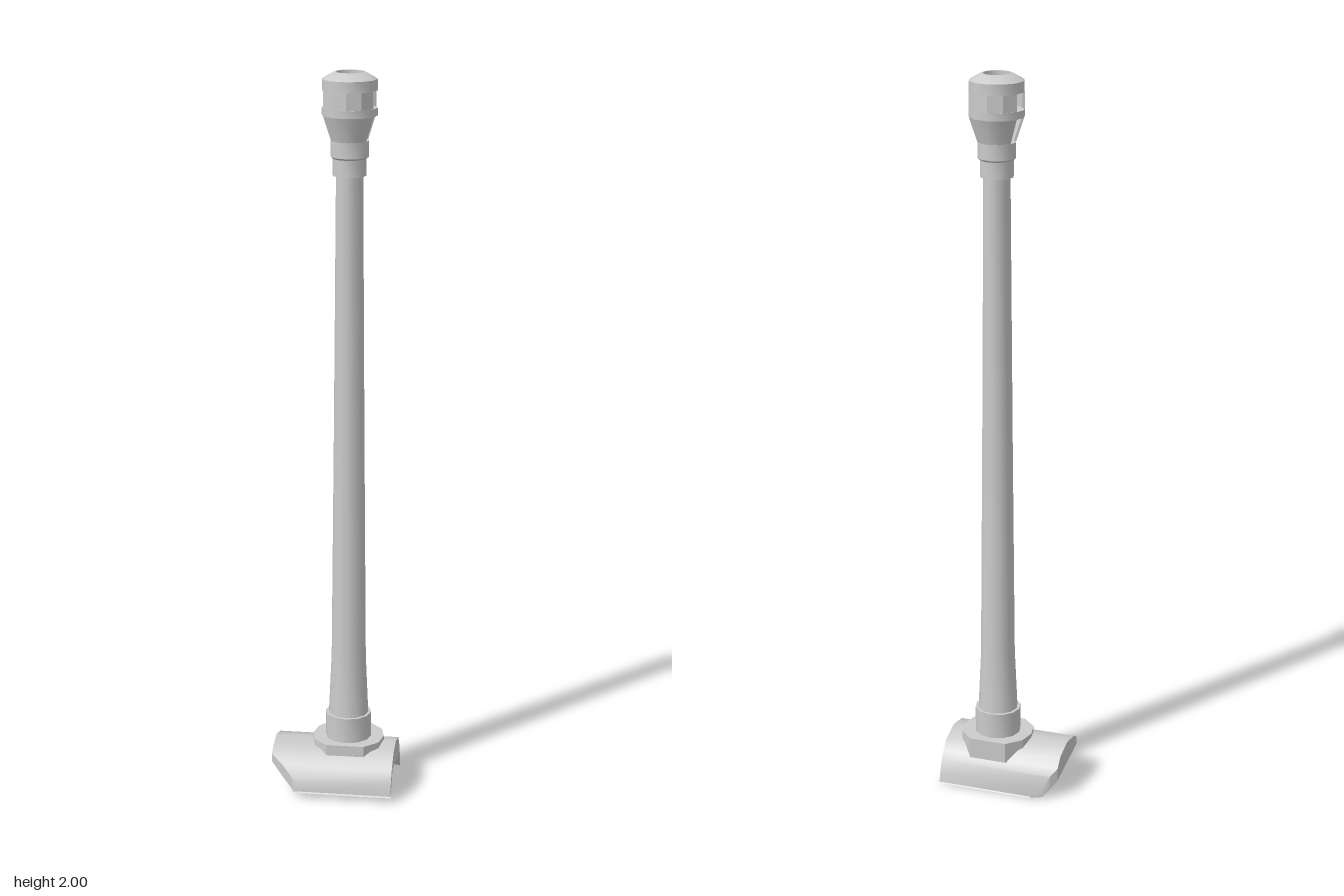
import * as THREE from 'three';
import { toCreasedNormals } from 'three/addons/utils/BufferGeometryUtils.js';

const SIDES = 12;
const material = new THREE.MeshStandardMaterial({ color: 0xcccccc });
const openMaterial = new THREE.MeshStandardMaterial({ color: 0xcccccc, side: THREE.DoubleSide });

function add(parent, name, geometry, mat = material) {
  const mesh = new THREE.Mesh(geometry, mat);
  mesh.name = name;
  parent.add(mesh);
}

// Turned part; the profile of [radius, y] runs up the outside
function turned(profile, sides = SIDES, start = 0, length = Math.PI * 2) {
  const points = profile.map(([r, y]) => new THREE.Vector2(r, y));
  return toCreasedNormals(new THREE.LatheGeometry(points, sides, start, length), 0.55);
}

// Muzzle brake: full rings joined by front and back walls, leaving side windows
function createMuzzleBrake() {
  const brake = new THREE.Group();
  brake.name = 'muzzleBrake';
  const half = 0.45;
  add(brake, 'muzzleRing', turned([
    [0.036, 1.953], [0.073, 1.953], [0.073, 1.982], [0.041, 2.0], [0.036, 2.0], [0.036, 1.953],
  ]));
  add(brake, 'middleRing', turned([
    [0.036, 1.888], [0.074, 1.888], [0.074, 1.908], [0.036, 1.908], [0.036, 1.888],
  ]));
  // Neck with a dished bore floor
  add(brake, 'brakeNeck', turned([
    [0, 1.73], [0.045, 1.73], [0.045, 1.775], [0.051, 1.78], [0.051, 1.822], [0.036, 1.822], [0, 1.8],
  ]));
  const walls = {
    upperWall: [[0.066, 1.908], [0.073, 1.908], [0.073, 1.953], [0.066, 1.953]],
    lowerWall: [[0.044, 1.822], [0.051, 1.822], [0.073, 1.888], [0.066, 1.888]],
  };
  for (const [name, profile] of Object.entries(walls)) {
    const section = new THREE.Shape(profile.map(([r, y]) => new THREE.Vector2(r, y)));
    for (const middle of [0, Math.PI]) {
      const start = middle - Math.PI / 2 + half, length = Math.PI - 2 * half;
      add(brake, name, turned([...profile, profile[0]], 4, start, length));
      // Flat cheeks of the windows
      for (const angle of [start, start + length]) {
        add(brake, 'windowCheek', new THREE.ShapeGeometry(section).rotateY(angle - Math.PI / 2), openMaterial);
      }
    }
  }
  return brake;
}

// Curved saddle: columns of [z, outer y, lower y, x of the clipped end]
function createSaddle() {
  const right = 0.17, holeLeft = -0.06, holeRight = 0.13;
  const columns = [
    [0.127, 0.02, 0.015, -0.1], [0.122, 0.055, 0.022, -0.105], [0.1, 0.086, 0.05, -0.136],
    [0.076, 0.106, 0.083, -0.17], [0.055, 0.119, 0.079, -0.17], [-0.008, 0.13, 0.067, -0.17],
    [-0.07, 0.112, 0.055, -0.17], [-0.093, 0.087, 0.05, -0.17], [-0.108, 0.065, 0.026, -0.152],
    [-0.12, 0.03, 0.006, -0.134], [-0.126, 0.004, 0, -0.1],
  ];
  const positions = [];
  const quad = (a, b, c, d) => positions.push(...a, ...b, ...c, ...a, ...c, ...d);
  for (let i = 0; i < columns.length - 1; i++) {
    const [za, ta, ba, xa] = columns[i], [zb, tb, bb, xb] = columns[i + 1];
    // Outer skin, right end, clipped end
    quad([xa, ta, za], [right, ta, za], [right, tb, zb], [xb, tb, zb]);
    quad([right, ba, za], [right, bb, zb], [right, tb, zb], [right, ta, za]);
    quad([xa, ba, za], [xa, ta, za], [xb, tb, zb], [xb, bb, zb]);
    // Underside, with an opening below the flange
    const under = (a, b, end) => quad([a, ba, za], [b, bb, zb], [end, bb, zb], [end, ba, za]);
    if (i === 4 || i === 5) {
      under(xa, xb, holeLeft);
      under(holeRight, holeRight, right);
    } else {
      under(xa, xb, right);
    }
  }
  const geometry = new THREE.BufferGeometry();
  geometry.setAttribute('position', new THREE.Float32BufferAttribute(positions, 3));
  geometry.computeVertexNormals();
  return toCreasedNormals(geometry, 0.7);
}

// Ten-sided flange with flattened front and back
function createFlange() {
  const side = [[0.052, 0.083], [0.09, 0.047], [0.1, 0], [0.09, -0.047], [0.052, -0.087]];
  const outline = [...side, ...side.map(([x, z]) => [-x, z]).reverse()];
  const shape = new THREE.Shape(outline.map(([x, z]) => new THREE.Vector2(x, -z)));
  const geometry = new THREE.ExtrudeGeometry(shape, { depth: 0.058, bevelEnabled: false });
  return geometry.rotateX(-Math.PI / 2).translate(0, 0.082, 0);
}

export function createModel() {
  const model = new THREE.Group();
  model.name = 'barrelAssembly';
  add(model, 'saddle', createSaddle(), openMaterial);

  // Everything turned shares one upright axis
  const upright = new THREE.Group();
  upright.name = 'upright';
  upright.position.set(0.035, 0, -0.012);
  model.add(upright);
  add(upright, 'flange', createFlange());
  add(upright, 'collar', turned([[0.064, 0.13], [0.064, 0.212], [0, 0.212]]));
  add(upright, 'barrel', turned([
    [0.056, 0.205], [0.048, 0.38], [0.042, 1.0], [0.036, 1.74],
  ]));
  upright.add(createMuzzleBrake());
  return model;
}
